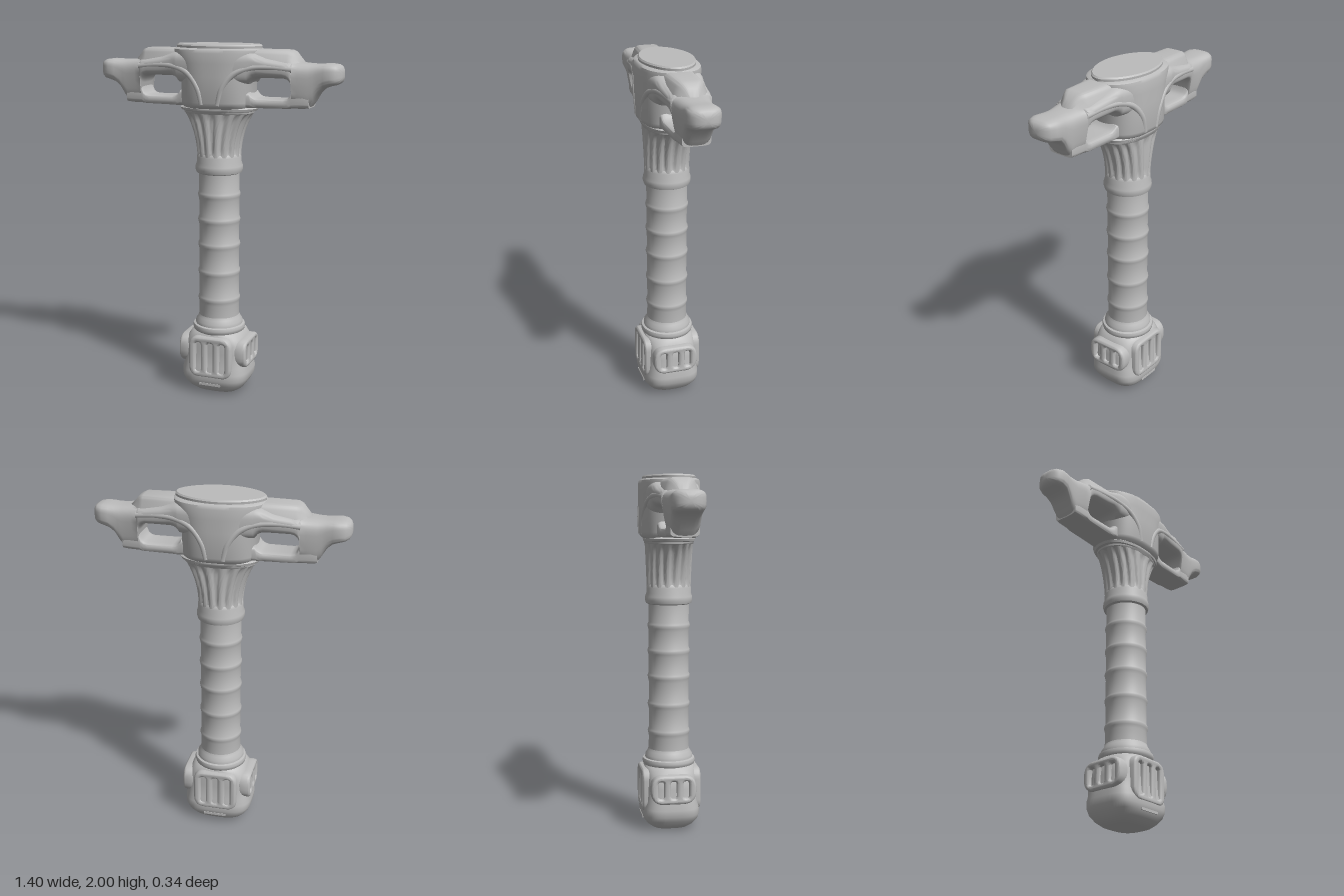
import * as THREE from 'three';
import { toCreasedNormals } from 'three/addons/utils/BufferGeometryUtils.js';

const metal = new THREE.MeshStandardMaterial({ color: 0xbcbcbc });
metal.name = 'light grey metal';

// Rounded-box outline point: exponent 2 is an ellipse, higher is squarer
function outline(angle, e) {
  const f = v => Math.sign(v) * Math.pow(Math.abs(v), 2 / e);
  return [f(Math.cos(angle)), f(Math.sin(angle))];
}

// Skin a list of closed rings and cap both ends
function loft(rings, crease) {
  const n = rings[0].length, pos = [], index = [];
  rings.forEach(r => r.forEach(p => pos.push(...p)));
  for (let i = 0; i < rings.length - 1; i++) {
    for (let j = 0; j < n; j++) {
      const k = (j + 1) % n, a = i * n + j, b = i * n + k;
      index.push(a, a + n, b, b, a + n, b + n);
    }
  }
  [0, rings.length - 1].forEach(i => {
    const c = pos.length / 3;
    pos.push(...[0, 1, 2].map(d => rings[i].reduce((s, p) => s + p[d], 0) / n));
    for (let j = 0; j < n; j++) {
      const a = i * n + j, b = i * n + (j + 1) % n;
      if (i === 0) index.push(c, a, b); else index.push(c, b, a);
    }
  });
  const g = new THREE.BufferGeometry();
  g.setAttribute('position', new THREE.Float32BufferAttribute(pos, 3));
  g.setIndex(index);
  return toCreasedNormals(g, crease);
}

// Upright loft, sections [y, rx, rz, exponent]; scale(angle, y) adds flutes
function column(sections, n = 56, scale = () => 1) {
  return loft(sections.map(([y, rx, rz, e = 2]) => Array.from({ length: n }, (_, j) => {
    const a = j / n * Math.PI * 2, [u, v] = outline(a, e), s = scale(a, y);
    return [u * rx * s, y, v * rz * s];
  })), 0.7);
}

// Sideways loft, sections [x, bottom, top, half depth below, half depth above]
function bar(sections, e, n = 40) {
  return loft(sections.map(([x, yb, yt, wb, wt = wb]) => Array.from({ length: n }, (_, j) => {
    const [u, v] = outline(j / n * Math.PI * 2, e);
    return [x, (yb + yt) / 2 + v * (yt - yb) / 2, u * (wb + (wt - wb) * (v + 1) / 2)];
  })), 0.85);
}

function roundRect(target, x, y, w, h, r) {
  const l = x - w / 2, b = y - h / 2, R = x + w / 2, t = y + h / 2;
  target.moveTo(l + r, b);
  target.lineTo(R - r, b).quadraticCurveTo(R, b, R, b + r);
  target.lineTo(R, t - r).quadraticCurveTo(R, t, R - r, t);
  target.lineTo(l + r, t).quadraticCurveTo(l, t, l, t - r);
  target.lineTo(l, b + r).quadraticCurveTo(l, b, l + r, b);
  return target;
}

// Soft-edged plate with three upright slots, front face at z = 0
function slottedPlate(w, h, r, slotH, slotY) {
  const shape = roundRect(new THREE.Shape(), 0, 0, w, h, r);
  for (const x of [-0.072, 0, 0.072]) {
    shape.holes.push(roundRect(new THREE.Path(), x, slotY, 0.06, slotH, 0.029));
  }
  const g = new THREE.ExtrudeGeometry(shape, {
    depth: 0.04, bevelThickness: 0.018, bevelSize: 0.014, bevelSegments: 4, curveSegments: 6,
  });
  g.translate(0, 0, -0.058);
  return toCreasedNormals(g, 0.7);
}

export function createModel() {
  const model = new THREE.Group();
  model.name = 'hilt';
  const add = (name, geometry, parent = model) => {
    const m = new THREE.Mesh(geometry, metal);
    m.name = name;
    parent.add(m);
    return m;
  };

  // Pommel core with slotted plates on all four sides
  add('pommel', column([
    [0, 0.1, 0.085, 3], [0.008, 0.13, 0.11, 3], [0.03, 0.16, 0.137, 3.2], [0.06, 0.182, 0.158, 3.5],
    [0.09, 0.197, 0.165, 3.5], [0.13, 0.2, 0.164, 3.5], [0.17, 0.19, 0.152, 3.5],
    [0.25, 0.187, 0.148, 3.5], [0.3, 0.18, 0.148, 3.4], [0.335, 0.165, 0.147, 3],
    [0.36, 0.15, 0.142, 2.5], [0.375, 0.13, 0.125]]));
  for (const [i, side] of ['front', 'left', 'back', 'right'].entries()) {
    const broad = i % 2 === 0, a = i * Math.PI / 2, d = broad ? 0.167 : 0.203;
    const plate = add(side + 'PommelPlate', broad
      ? slottedPlate(0.23, 0.22, 0.05, 0.2, 0)
      : slottedPlate(0.23, 0.14, 0.06, 0.125, 0));
    plate.position.set(Math.sin(a) * d, broad ? 0.228 : 0.25, Math.cos(a) * d);
    plate.rotation.y = a;
    if (broad) {
      const ledge = add(side + 'PommelLedge', new THREE.BoxGeometry(0.13, 0.014, 0.02));
      ledge.position.set(0, 0.065, Math.cos(a) * 0.153);
    }
  }

  // Stepped collar under the grip
  add('lowerCollar', column([
    [0.35, 0.13, 0.13], [0.367, 0.148, 0.148], [0.385, 0.152, 0.152], [0.398, 0.148, 0.148],
    [0.402, 0.136, 0.136], [0.42, 0.135, 0.135], [0.44, 0.122, 0.122], [0.46, 0.115, 0.115]]));

  // Grip with soft rings
  const grip = [[0.42, 0.118, 0.118]];
  for (const y of [0.555, 0.715, 0.875, 1.02, 1.165]) {
    for (const [dy, r] of [[-0.03, 0.114], [-0.012, 0.118], [0, 0.121], [0.01, 0.119], [0.022, 0.114]]) {
      grip.push([y + dy, r, r]);
    }
  }
  grip.push([1.3, 0.115, 0.115]);
  add('grip', column(grip));

  // Collar above the grip
  add('upperCollar', column([
    [1.285, 0.112, 0.112], [1.292, 0.128, 0.128], [1.31, 0.134, 0.134], [1.33, 0.133, 0.133],
    [1.35, 0.126, 0.126], [1.38, 0.126, 0.126], [1.395, 0.121, 0.121], [1.41, 0.11, 0.11]]));

  // Fluted neck widening sideways
  const neck = [];
  for (let i = 0; i <= 12; i++) {
    const t = i / 12;
    neck.push([1.37 + 0.26 * t, 0.124 + 0.073 * t ** 2.2, 0.124 + 0.008 * t, 2 + 0.3 * t]);
  }
  add('flutedNeck', column(neck, 160, (a, y) => {
    const fade = Math.min(1, (y - 1.37) / 0.04, (1.63 - y) / 0.03);
    return 1 - 0.09 * Math.max(0, fade) * Math.pow(0.5 + 0.5 * Math.cos(a * 16), 1.5);
  }));
  add('neckRim', column([
    [1.615, 0.18, 0.12, 2.3], [1.628, 0.198, 0.134, 2.3], [1.638, 0.2, 0.136, 2.3],
    [1.642, 0.215, 0.14, 2.3], [1.655, 0.222, 0.142, 2.3], [1.668, 0.2, 0.135, 2.3]]));

  // Guard centre and lens-shaped cap
  add('guardCentre', column([
    [1.655, 0.19, 0.14, 2.6], [1.67, 0.202, 0.158, 2.6], [1.69, 0.206, 0.164, 2.6],
    [1.83, 0.206, 0.166, 2.6], [1.9, 0.23, 0.167, 2.5], [1.955, 0.25, 0.167, 2.4],
    [1.972, 0.25, 0.163, 2.4], [1.98, 0.242, 0.153, 2.3]], 72));
  add('guardCap', column([
    [1.96, 0.243, 0.145, 1.85], [1.992, 0.246, 0.148, 1.85], [2, 0.238, 0.142, 1.85]], 72));

  // Two matching arms, each an open loop ending in a rounded tip
  for (const [side, turn] of [['left', 0], ['right', Math.PI]]) {
    const arm = new THREE.Group();
    arm.name = side + 'Arm';
    arm.rotation.y = turn;
    model.add(arm);
    add('upperBar', bar([
      [0.1, 1.78, 1.972, 0.152], [0.2, 1.79, 1.968, 0.135, 0.142], [0.212, 1.808, 1.966, 0.132, 0.139],
      [0.23, 1.82, 1.96, 0.129, 0.134], [0.25, 1.825, 1.952, 0.126, 0.13], [0.3, 1.825, 1.935, 0.12, 0.124],
      [0.39, 1.825, 1.92, 0.115], [0.412, 1.818, 1.917, 0.112], [0.426, 1.804, 1.915, 0.108, 0.113],
      [0.435, 1.78, 1.914, 0.1, 0.113], [0.438, 1.675, 1.913, 0.08, 0.115], [0.47, 1.672, 1.911, 0.078, 0.108],
      [0.525, 1.67, 1.906, 0.076, 0.096], [0.55, 1.705, 1.905, 0.077, 0.092],
      [0.575, 1.75, 1.905, 0.08, 0.087], [0.605, 1.778, 1.907, 0.087], [0.64, 1.79, 1.908, 0.088],
      [0.67, 1.797, 1.904, 0.076], [0.688, 1.808, 1.895, 0.055], [0.697, 1.822, 1.88, 0.033],
      [0.7, 1.835, 1.865, 0.015]], 3.5), arm);
    add('topRidge', bar([
      [0.1, 1.86, 1.976, 0.14, 0.09], [0.22, 1.86, 1.976, 0.12, 0.075], [0.41, 1.86, 1.975, 0.108, 0.066],
      [0.435, 1.86, 1.966, 0.098, 0.05], [0.455, 1.86, 1.945, 0.088, 0.035],
      [0.49, 1.86, 1.908, 0.06, 0.02]], 6), arm);
    add('lowerBar', bar([
      [0.1, 1.662, 1.75, 0.1], [0.2, 1.662, 1.75, 0.092], [0.212, 1.662, 1.732, 0.09],
      [0.23, 1.662, 1.72, 0.088], [0.25, 1.663, 1.715, 0.086], [0.39, 1.665, 1.715, 0.083],
      [0.412, 1.665, 1.722, 0.083], [0.426, 1.666, 1.736, 0.083], [0.435, 1.667, 1.76, 0.083],
      [0.5, 1.668, 1.76, 0.08], [0.53, 1.672, 1.745, 0.076]], 5), arm);
    // Curved ribs sweeping from the centre onto the arm, front and back
    for (const z of [1, -1]) {
      const path = new THREE.CatmullRomCurve3([
        [0.045, 1.68, 0.148], [0.07, 1.77, 0.15], [0.13, 1.845, 0.138],
        [0.22, 1.88, 0.12], [0.32, 1.885, 0.106], [0.44, 1.875, 0.094],
      ].map(([x, y, d]) => new THREE.Vector3(x, y, d * z)));
      add('sweepRib', new THREE.TubeGeometry(path, 32, 0.018, 10), arm);
    }
  }
  return model;
}
